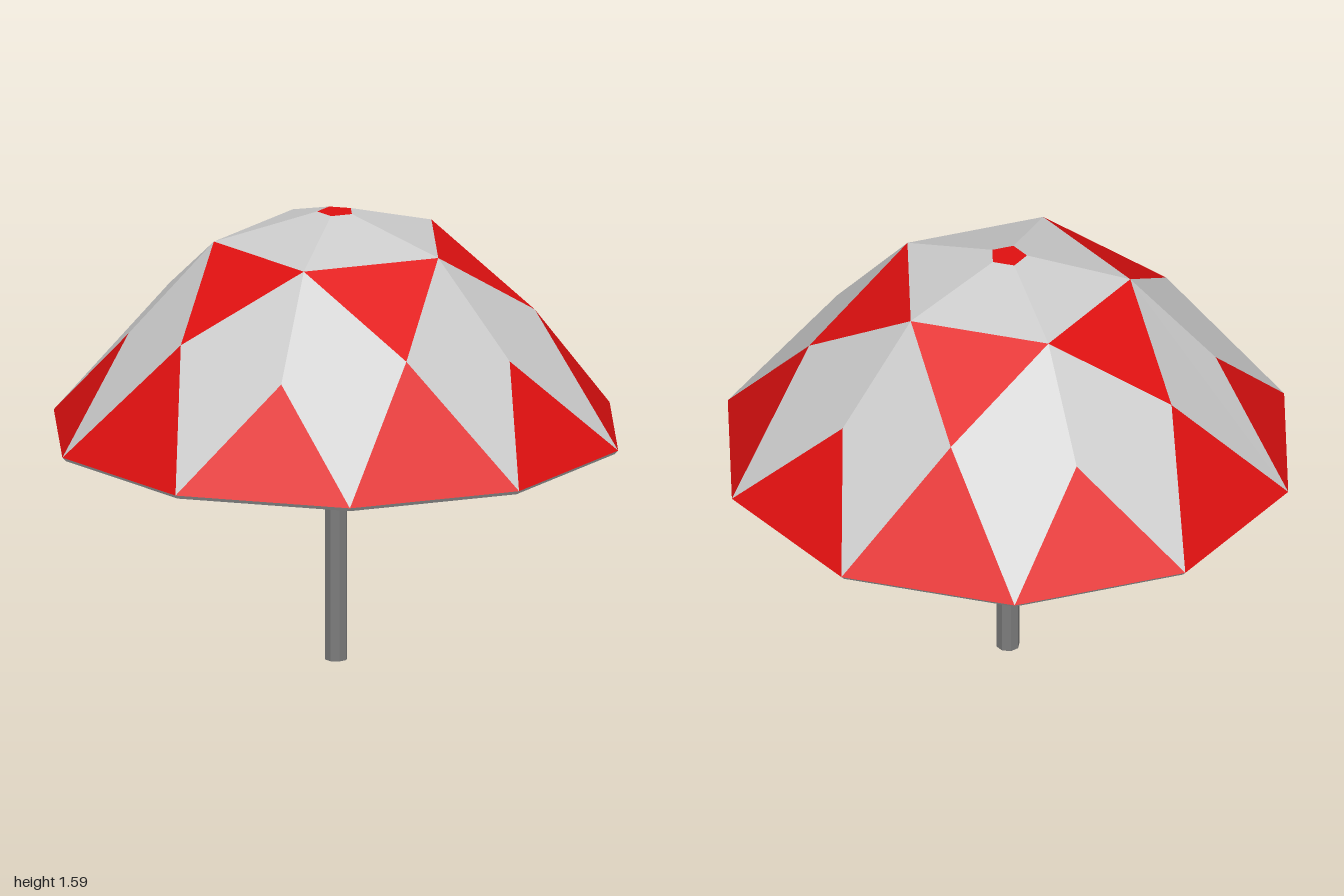
import * as THREE from 'three';

// Rings of the canopy as [radius, height]; the inner shell is the same set pulled inwards
const OUTER = { top: [0.065, 1.587], upper: [0.418, 1.485], mid: [0.68, 1.23], notch: [0.71, 1.163], rim: [1, 0.811] };
const INNER = { top: [0.06, 1.566], upper: [0.41, 1.465], mid: [0.667, 1.213], notch: [0.694, 1.147], rim: [0.986, 0.797] };

// Point on a ring at an angle in degrees
function at([r, y], deg) {
  const a = THREE.MathUtils.degToRad(deg);
  return [r * Math.cos(a), y, r * Math.sin(a)];
}

// Convex polygons to a flat-faced geometry
function facets(polys, flip = false) {
  const pos = [];
  for (const p of polys) {
    for (let i = 1; i < p.length - 1; i++) {
      const tri = flip ? [p[0], p[i + 1], p[i]] : [p[0], p[i], p[i + 1]];
      tri.forEach((v) => pos.push(...v));
    }
  }
  const g = new THREE.BufferGeometry();
  g.setAttribute('position', new THREE.Float32BufferAttribute(pos, 3));
  g.computeVertexNormals();
  return g;
}

// Panels of one shell, split by colour, in five-fold symmetry
function panels(s) {
  const red = [], grey = [];
  red.push([0, 1, 2, 3, 4].map((k) => at(s.top, -72 * k)));
  for (let k = 0; k < 5; k++) {
    const a = 72 * k;
    // crown panel and the triangle hanging from it
    grey.push([at(s.top, a), at(s.top, a + 72), at(s.upper, a + 72), at(s.upper, a)]);
    red.push([at(s.upper, a), at(s.upper, a + 72), at(s.mid, a + 36)]);
    // pair of kite panels meeting at the notch
    grey.push([at(s.upper, a), at(s.mid, a + 36), at(s.rim, a + 18), at(s.notch, a)]);
    grey.push([at(s.upper, a), at(s.notch, a), at(s.rim, a - 18), at(s.mid, a - 36)]);
    // triangles standing on the rim
    red.push([at(s.notch, a), at(s.rim, a + 18), at(s.rim, a - 18)]);
    red.push([at(s.mid, a + 36), at(s.rim, a + 54), at(s.rim, a + 18)]);
  }
  return { red, grey };
}

export function createModel() {
  const group = new THREE.Group();
  const grey = new THREE.MeshStandardMaterial({ color: 0xcccccc, flatShading: true });
  const red = new THREE.MeshStandardMaterial({ color: 0xe01010, flatShading: true });
  const dark = new THREE.MeshStandardMaterial({ color: 0x7c7c7c, flatShading: true });

  const add = (name, geometry, material) => {
    const mesh = new THREE.Mesh(geometry, material);
    mesh.name = name;
    group.add(mesh);
    return mesh;
  };

  // Canopy outside and lining
  const outer = panels(OUTER);
  const inner = panels(INNER);
  add('canopyRedPanels', facets(outer.red), red);
  add('canopyGreyPanels', facets(outer.grey), grey);
  add('canopyLining', facets([...inner.red, ...inner.grey], true), grey);

  // Thin edge joining both shells
  const edge = [];
  for (let k = 0; k < 10; k++) {
    const a = 18 + 36 * k, b = a + 36;
    edge.push([at(OUTER.rim, a), at(OUTER.rim, b), at(INNER.rim, b), at(INNER.rim, a)]);
  }
  add('canopyEdge', facets(edge), grey);

  // Octagonal pole
  const pole = add('pole', new THREE.CylinderGeometry(0.04, 0.04, 1.57, 8, 1, false, Math.PI / 8), dark);
  pole.position.y = 0.785;

  return group;
}
